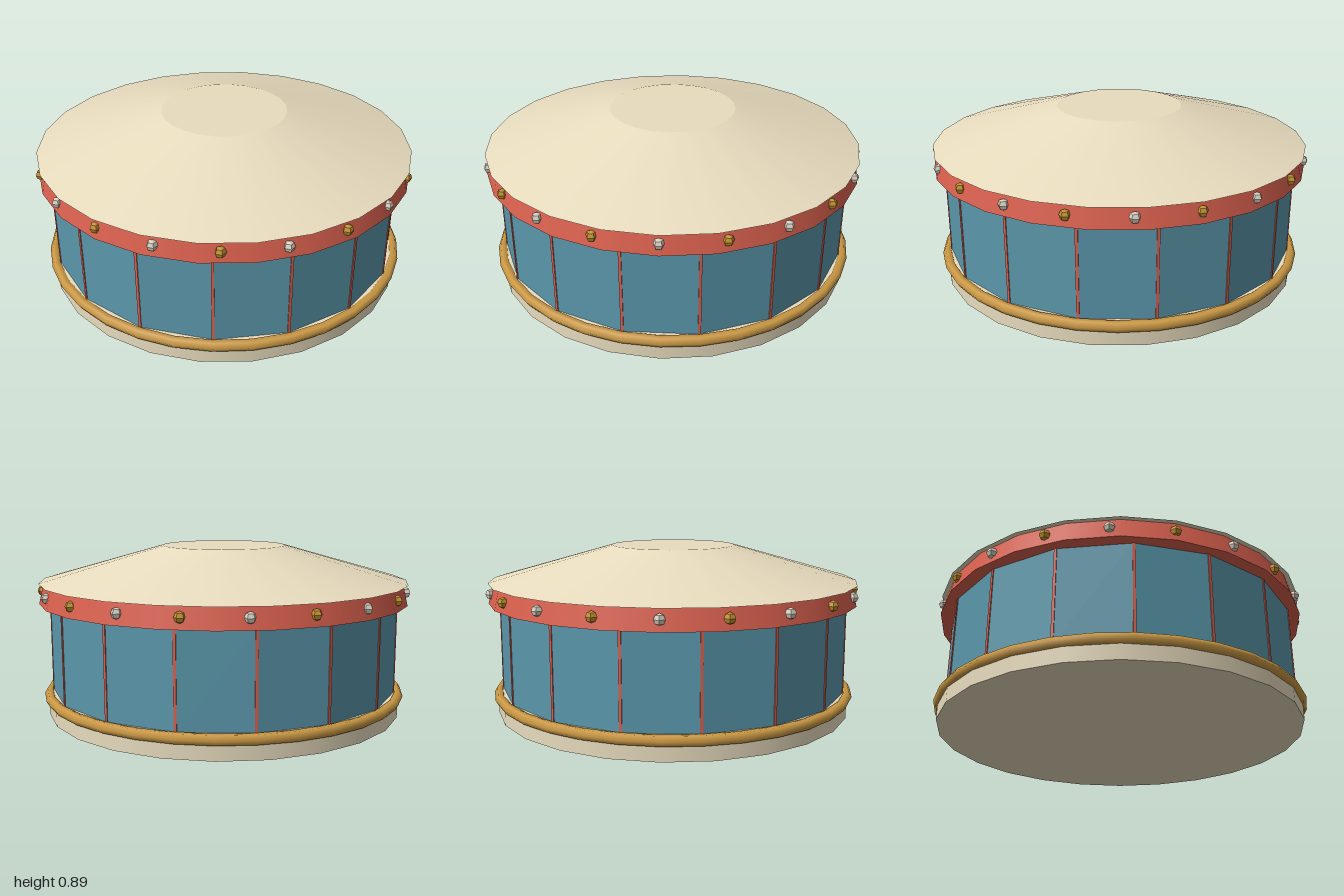
import * as THREE from 'three';

export function createModel() {
  const group = new THREE.Group();
  const mat = (color, flatShading = false) => new THREE.MeshStandardMaterial({ color, flatShading });
  const cream = mat(0xe8dcbe), red = mat(0xd9604e), blue = mat(0x5a97ab, true);
  const gold = mat(0xcc9a45), brass = mat(0xc2912f, true), silver = mat(0xd8d0c0, true);

  const add = (name, geometry, material, x = 0, y = 0, z = 0) => {
    const mesh = new THREE.Mesh(geometry, material);
    mesh.name = name;
    mesh.position.set(x, y, z);
    group.add(mesh);
    return mesh;
  };
  // Closed drum between two heights
  const drum = (name, rTop, rBottom, y0, y1, sides, material) =>
    add(name, new THREE.CylinderGeometry(rTop, rBottom, y1 - y0, sides), material, 0, (y0 + y1) / 2, 0);

  // Base plinth and its gilded rim
  drum('base', 0.955, 0.955, 0, 0.12, 24, cream);
  add('baseRim', new THREE.TorusGeometry(0.95, 0.028, 6, 32), gold, 0, 0.1, 0).rotation.x = Math.PI / 2;

  // Sixteen-sided wall with a face towards the front
  const sides = 16, wallRadius = 0.93;
  drum('wall', wallRadius, wallRadius, 0.1, 0.61, sides, blue).rotation.y = Math.PI / sides;

  // Thin strips along the wall corners
  const strip = new THREE.BoxGeometry(0.014, 0.5, 0.014);
  for (let i = 0; i < sides; i++) {
    const a = ((i + 0.5) / sides) * Math.PI * 2;
    const r = wallRadius - 0.004;
    add('cornerStrip', strip, red, Math.sin(a) * r, 0.36, Math.cos(a) * r).rotation.y = a;
  }

  // Flared band under the roof
  drum('band', 0.962, 0.987, 0.595, 0.703, 24, red);

  // Shallow roof with a flat top
  drum('roof', 0.33, 0.988, 0.7, 0.887, 24, cream);

  // Bulbs around the band, alternating in colour
  const bulb = new THREE.SphereGeometry(0.028, 5, 4);
  for (let i = 0; i < 20; i++) {
    const a = (i / 20) * Math.PI * 2;
    add('bulb', bulb, i % 2 ? silver : brass, Math.sin(a) * 0.973, 0.65, Math.cos(a) * 0.973);
  }

  return group;
}
